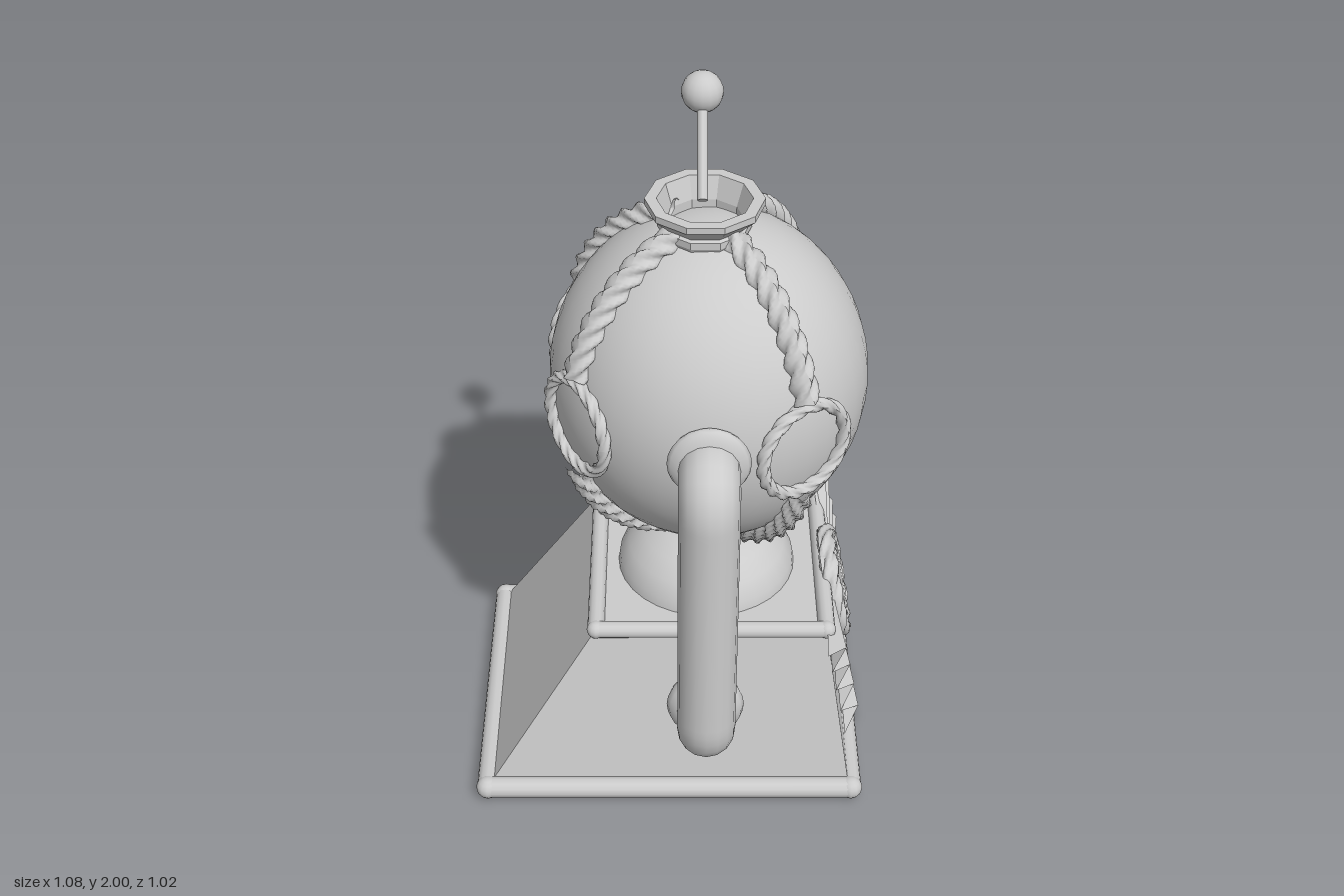
import * as THREE from 'three';

const V = (x, y, z) => new THREE.Vector3(x, y, z);
const smooth = new THREE.MeshStandardMaterial({ color: 0xcccccc });
const flat = new THREE.MeshStandardMaterial({ color: 0xcccccc, flatShading: true, side: THREE.DoubleSide });

function add(parent, name, geometry, material = smooth, pos = [0, 0, 0]) {
  const mesh = new THREE.Mesh(geometry, material);
  mesh.name = name;
  mesh.position.set(...pos);
  parent.add(mesh);
  return mesh;
}

// Straight rod between two points
function rod(parent, name, a, b, r, sides = 10) {
  const mesh = add(parent, name, new THREE.CylinderGeometry(r, r, a.distanceTo(b), sides));
  mesh.position.copy(a).lerp(b, 0.5);
  mesh.quaternion.setFromUnitVectors(V(0, 1, 0), b.clone().sub(a).normalize());
  return mesh;
}

// Twisted rope: a tube whose lobed cross-section turns along the curve
function ropeGeometry(curve, radius, turns, segs, closed = false) {
  const sides = 16, strands = 4;
  const geo = new THREE.TubeGeometry(curve, segs, radius, sides, closed);
  const p = geo.attributes.position, v = V(0, 0, 0);
  for (let i = 0; i <= segs; i++) {
    const c = curve.getPointAt(closed ? (i % segs) / segs : i / segs);
    for (let j = 0; j <= sides; j++) {
      const k = i * (sides + 1) + j;
      const angle = (j / sides + (turns * i) / segs) * Math.PI * 2;
      v.fromBufferAttribute(p, k).sub(c).multiplyScalar(0.86 + 0.2 * Math.cos(strands * angle)).add(c);
      p.setXYZ(k, v.x, v.y, v.z);
    }
  }
  geo.computeVertexNormals();
  return geo;
}

function circleCurve(r) {
  const pts = [];
  for (let i = 0; i < 16; i++) pts.push(V(r * Math.cos(i * Math.PI / 8), r * Math.sin(i * Math.PI / 8), 0));
  return new THREE.CatmullRomCurve3(pts, true);
}

// Rounded tube rim around a rectangle
function rim(parent, name, [x0, x1, z0, z1], y, r) {
  const g = new THREE.Group();
  g.name = name;
  const c = [V(x0, y, z0), V(x1, y, z0), V(x1, y, z1), V(x0, y, z1)];
  c.forEach((a, i) => {
    rod(g, name + 'Side', a, c[(i + 1) % 4], r, 12);
    add(g, name + 'Corner', new THREE.SphereGeometry(r * 1.08, 12, 8), smooth, a.toArray());
  });
  parent.add(g);
}

// Arch outline, w = half width, centred on u
function arch(Type, u, w, y0, top) {
  const s = new Type();
  s.moveTo(u - w, y0);
  s.lineTo(u + w, y0);
  s.lineTo(u + w * 0.82, top - w * 0.75);
  s.bezierCurveTo(u + w * 0.72, top, u + w * 0.5, top, u, top);
  s.bezierCurveTo(u - w * 0.5, top, u - w * 0.72, top, u - w * 0.82, top - w * 0.75);
  s.closePath();
  return s;
}

export function createModel() {
  const model = new THREE.Group();
  model.name = 'globeMachine';
  const CX = 0.1, CZ = -0.075;

  // Sloped base: bottom and top rectangles [x0, x1, z0, z1]
  const B = [-0.505, 0.497, -0.475, 0.322], T = [-0.2, 0.42, -0.372, 0.222], yB = 0.037, yT = 0.53;
  const ring = (q, y) => [[q[0], y, q[3]], [q[1], y, q[3]], [q[1], y, q[2]], [q[0], y, q[2]]];
  const walls = new THREE.BufferGeometry();
  walls.setAttribute('position', new THREE.Float32BufferAttribute([...ring(B, yB), ...ring(T, yT)].flat(), 3));
  walls.setIndex([0, 1, 5, 0, 5, 4, 2, 3, 7, 2, 7, 6, 3, 0, 4, 3, 4, 7, 4, 5, 6, 4, 6, 7, 0, 3, 2, 0, 2, 1]);
  const wallsFlat = walls.toNonIndexed();
  wallsFlat.computeVertexNormals();
  add(model, 'baseBody', wallsFlat, flat);

  // Chute wall with an arched opening, leaned onto the slope
  const wall = new THREE.Shape([[-B[3], yB], [-B[2], yB], [-T[2], yT], [-T[3], yT]].map(a => new THREE.Vector2(...a)));
  wall.holes.push(arch(THREE.Path, 0.07, 0.09, 0.07, 0.25));
  const wallGeo = new THREE.ShapeGeometry(wall);
  const wp = wallGeo.attributes.position;
  for (let i = 0; i < wp.count; i++) {
    const u = wp.getX(i), y = wp.getY(i);
    wp.setXYZ(i, B[1] + (T[1] - B[1]) * (y - yB) / (yT - yB), y, -u);
  }
  wallGeo.computeVertexNormals();
  add(model, 'chuteWall', wallGeo, flat);
  rim(model, 'bottomRim', [-0.508, 0.502, -0.48, 0.33], 0.038, 0.03);
  rim(model, 'topRim', T, yT, 0.023);

  // Chute: arched frame, back panel and stepped sill
  const frameShape = arch(THREE.Shape, 0, 0.12, 0.06, 0.285);
  frameShape.holes.push(arch(THREE.Path, 0, 0.09, 0.07, 0.25));
  const frame = add(model, 'chuteFrame', new THREE.ExtrudeGeometry(frameShape, { depth: 0.09, bevelEnabled: false, curveSegments: 6 }), flat, [0.403, 0, -0.07]);
  frame.rotation.y = Math.PI / 2;
  const panel = add(model, 'chuteBack', new THREE.ShapeGeometry(arch(THREE.Shape, 0, 0.1, 0.06, 0.26)), flat, [0.405, 0, -0.07]);
  panel.rotation.y = Math.PI / 2;
  [[0.535, 0, 0.045], [0.522, 0.045, 0.063], [0.508, 0.063, 0.08]].forEach(([x, y0, y1]) =>
    add(model, 'chuteStep', new THREE.BoxGeometry(x - 0.41, y1 - y0, 0.195), flat, [(x + 0.41) / 2, (y0 + y1) / 2, -0.07]));

  // Dome pedestal with neck
  const domeProfile = [[0.245, 0.52], [0.24, 0.56], [0.215, 0.605], [0.175, 0.645], [0.125, 0.672], [0.07, 0.685], [0.062, 0.7], [0.065, 0.725], [0.1, 0.75]];
  add(model, 'pedestal', new THREE.LatheGeometry(domeProfile.map(a => new THREE.Vector2(...a)), 32), smooth, [CX, 0, CZ]);

  // Globe
  const globeY = 1.17, R = V(0.415, 0.45, 0.411);
  add(model, 'globe', new THREE.SphereGeometry(1, 40, 28), smooth, [CX, globeY, CZ]).scale.copy(R);

  // Flared collar on top
  const collar = [[0.105, 1.585], [0.118, 1.61], [0.118, 1.628], [0.108, 1.632], [0.15, 1.672], [0.15, 1.69], [0.12, 1.69], [0.1, 1.63], [0.1, 1.585]];
  const collarGeo = new THREE.LatheGeometry(collar.map(a => new THREE.Vector2(...a)), 10);
  collarGeo.rotateY(Math.PI / 2);
  add(model, 'collar', collarGeo, flat, [0.085, 0, -0.073]);

  // Rope straps and rope rings at four azimuths
  for (const deg of [55, -55, 180 - 34, 180 + 34]) {
    const a = deg * Math.PI / 180;
    const strap = (t0, t1) => {
      const pts = [];
      for (let i = 0; i <= 8; i++) {
        const t = t0 + (t1 - t0) * i / 8;
        pts.push(V(CX + (R.x + 0.008) * Math.sin(t) * Math.cos(a), globeY + (R.y + 0.008) * Math.cos(t), CZ + (R.z + 0.008) * Math.sin(t) * Math.sin(a)));
      }
      return new THREE.CatmullRomCurve3(pts);
    };
    add(model, 'upperRope', ropeGeometry(strap(0.22, 1.27), 0.036, 2, 56));
    add(model, 'lowerRope', ropeGeometry(strap(1.87, 2.98), 0.036, -2, 56));
    const loop = add(model, 'ropeRing', ropeGeometry(circleCurve(0.127), 0.018, 4, 96, true), smooth,
      [CX + 0.405 * Math.cos(a), 1.165, CZ + 0.405 * Math.sin(a)]);
    loop.rotation.y = Math.PI / 2 - a;
  }

  // Side pipe with flanges
  const px = 0.095, pz = 0.432, path = new THREE.CurvePath();
  path.add(new THREE.LineCurve3(V(px, 1.175, 0.25), V(px, 1.175, 0.35)));
  path.add(new THREE.QuadraticBezierCurve3(V(px, 1.175, 0.35), V(px, 1.175, pz), V(px, 1.08, pz)));
  path.add(new THREE.LineCurve3(V(px, 1.08, pz), V(px, 0.42, pz)));
  path.add(new THREE.QuadraticBezierCurve3(V(px, 0.42, pz), V(px, 0.325, pz), V(px, 0.325, 0.35)));
  path.add(new THREE.LineCurve3(V(px, 0.325, 0.35), V(px, 0.325, 0.2)));
  add(model, 'pipe', new THREE.TubeGeometry(path, 60, 0.077, 16));
  [[1.18, 0.335, 0.035], [0.315, 0.285, 0.06]].forEach(([y, z, d]) =>
    add(model, 'pipeFlange', new THREE.SphereGeometry(0.105, 16, 12), smooth, [px, y, z]).scale.z = d / 0.105);

  // Lever with ball knob
  rod(model, 'leverRod', V(0.077, 1.757, 0.052), V(0.077, 1.945, -0.135), 0.013, 8);
  add(model, 'leverKnob', new THREE.SphereGeometry(0.052, 16, 12), smooth, [0.077, 1.948, -0.138]);

  // Rosette with pleated ribbon fans, leaned against the chute wall
  const rosette = new THREE.Group();
  rosette.name = 'rosette';
  rosette.position.set(0.447, 0.45, -0.07);
  rosette.rotation.set(-0.2, Math.PI / 2, 0, 'YXZ');
  model.add(rosette);
  const disc = (name, r, h, z) => (add(rosette, name, new THREE.CylinderGeometry(r, r, h, 28), smooth, [0, 0, z]).rotation.x = Math.PI / 2);
  disc('rosetteDisc', 0.15, 0.024, 0.005);
  disc('rosetteCentre', 0.085, 0.024, 0.022);
  add(rosette, 'rosetteRope', ropeGeometry(circleCurve(0.134), 0.026, 3, 96, true), smooth, [0, 0, 0.014]);
  add(rosette, 'rosetteInnerRope', ropeGeometry(circleCurve(0.098), 0.016, 3, 96, true), smooth, [0, 0, 0.022]);
  const pos = [], idx = [], n = 8;
  for (let i = 0; i <= n; i++) {
    const t = i / n, odd = i % 2;
    pos.push(0.11, -0.065 + 0.125 * t, odd ? 0.012 : -0.004);
    pos.push((odd ? 0.355 : 0.41) - 0.02 * Math.sin(Math.PI * t), -0.095 + 0.29 * t, odd ? 0.035 : -0.012);
    if (i < n) idx.push(2 * i, 2 * i + 1, 2 * i + 3, 2 * i, 2 * i + 3, 2 * i + 2);
  }
  const fan = new THREE.BufferGeometry();
  fan.setAttribute('position', new THREE.Float32BufferAttribute(pos, 3));
  fan.setIndex(idx);
  fan.computeVertexNormals();
  add(rosette, 'ribbonBack', fan, flat);
  add(rosette, 'ribbonFront', fan, flat).rotation.z = Math.PI;
  return model;
}
